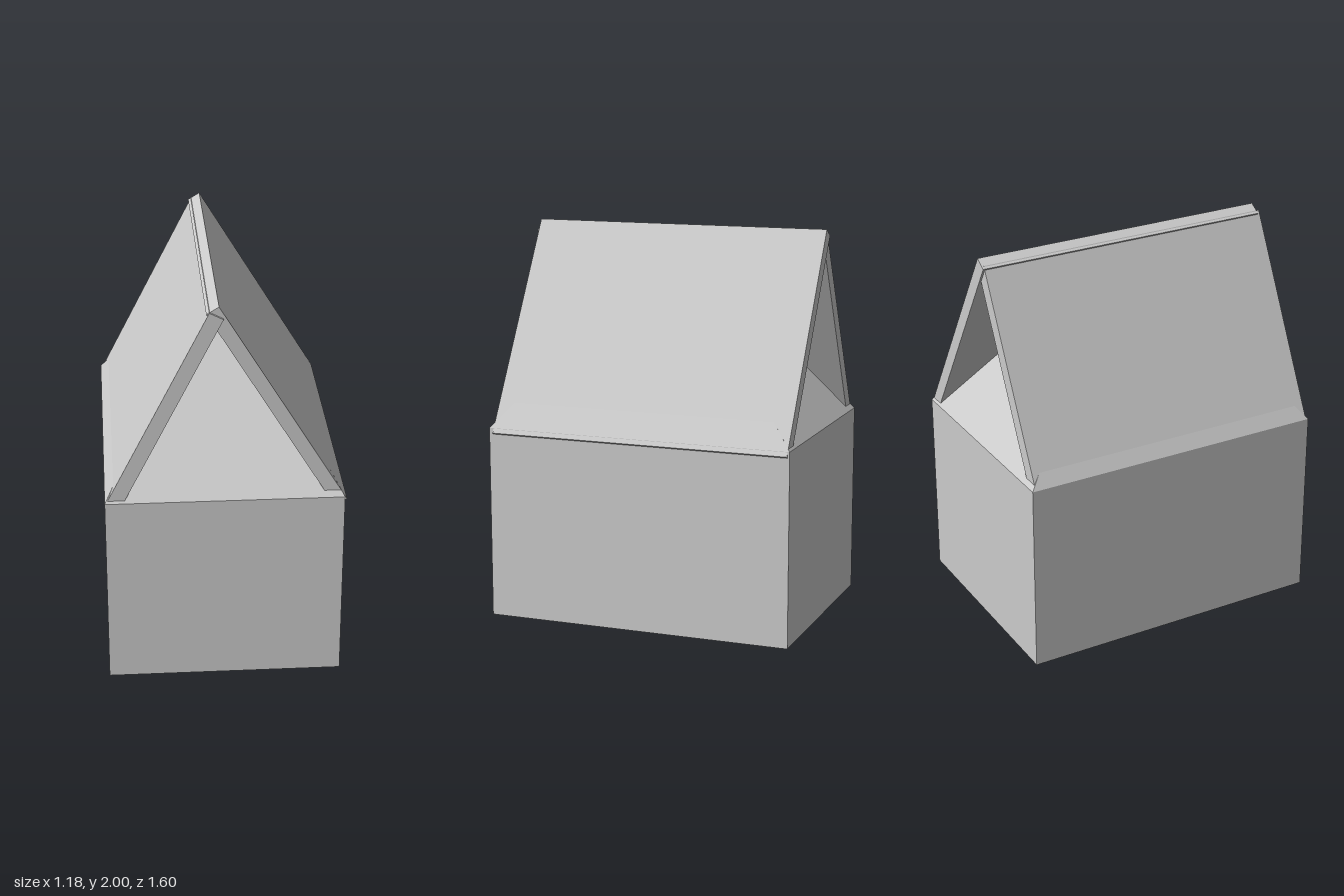
import * as THREE from 'three';

const material = new THREE.MeshStandardMaterial({ color: 0xcccccc, flatShading: true });

// Flat slab whose outer face runs from ridge to eave; side is +1 for +x, -1 for -x
function roofSlab(name, ridge, eave, side, thickness, zBack, zFront) {
  const a = new THREE.Vector2(...ridge);
  const b = new THREE.Vector2(...eave);
  const along = b.clone().sub(a);
  const length = along.length();
  const angle = Math.atan2(along.y, along.x);
  const inward = new THREE.Vector2(along.y, -along.x).normalize().multiplyScalar(side * thickness / 2);
  const centre = a.add(b).multiplyScalar(0.5).add(inward);
  const slab = new THREE.Mesh(new THREE.BoxGeometry(length, thickness, zFront - zBack), material);
  slab.name = name;
  slab.position.set(centre.x, centre.y, (zBack + zFront) / 2);
  slab.rotation.z = angle;
  return slab;
}

export function createModel() {
  const group = new THREE.Group();
  group.name = 'house';

  const width = 1.17, wallHeight = 0.99, depth = 1.6, centreX = -0.01;

  // Solid walls
  const walls = new THREE.Mesh(new THREE.BoxGeometry(width, wallHeight, depth), material);
  walls.name = 'walls';
  walls.position.set(centreX, wallHeight / 2, 0);
  group.add(walls);

  // Four-sided attic pyramid under the open gables
  const atticHeight = 0.95;
  const atticGeometry = new THREE.ConeGeometry(Math.SQRT1_2, 1, 4)
    .rotateY(Math.PI / 4)
    .scale(width, atticHeight, depth);
  const attic = new THREE.Mesh(atticGeometry, material);
  attic.name = 'attic';
  attic.position.set(centreX, wallHeight + atticHeight / 2, 0);
  group.add(attic);

  // Two leaning roof slabs, the +x one lapping over the ridge
  group.add(roofSlab('leftRoof', [-0.04, 2.0], [0.588, 0.967], 1, 0.07, -0.79, 0.777));
  group.add(roofSlab('rightRoof', [-0.086, 1.975], [-0.59, 0.985], -1, 0.075, -0.78, 0.79));

  return group;
}
